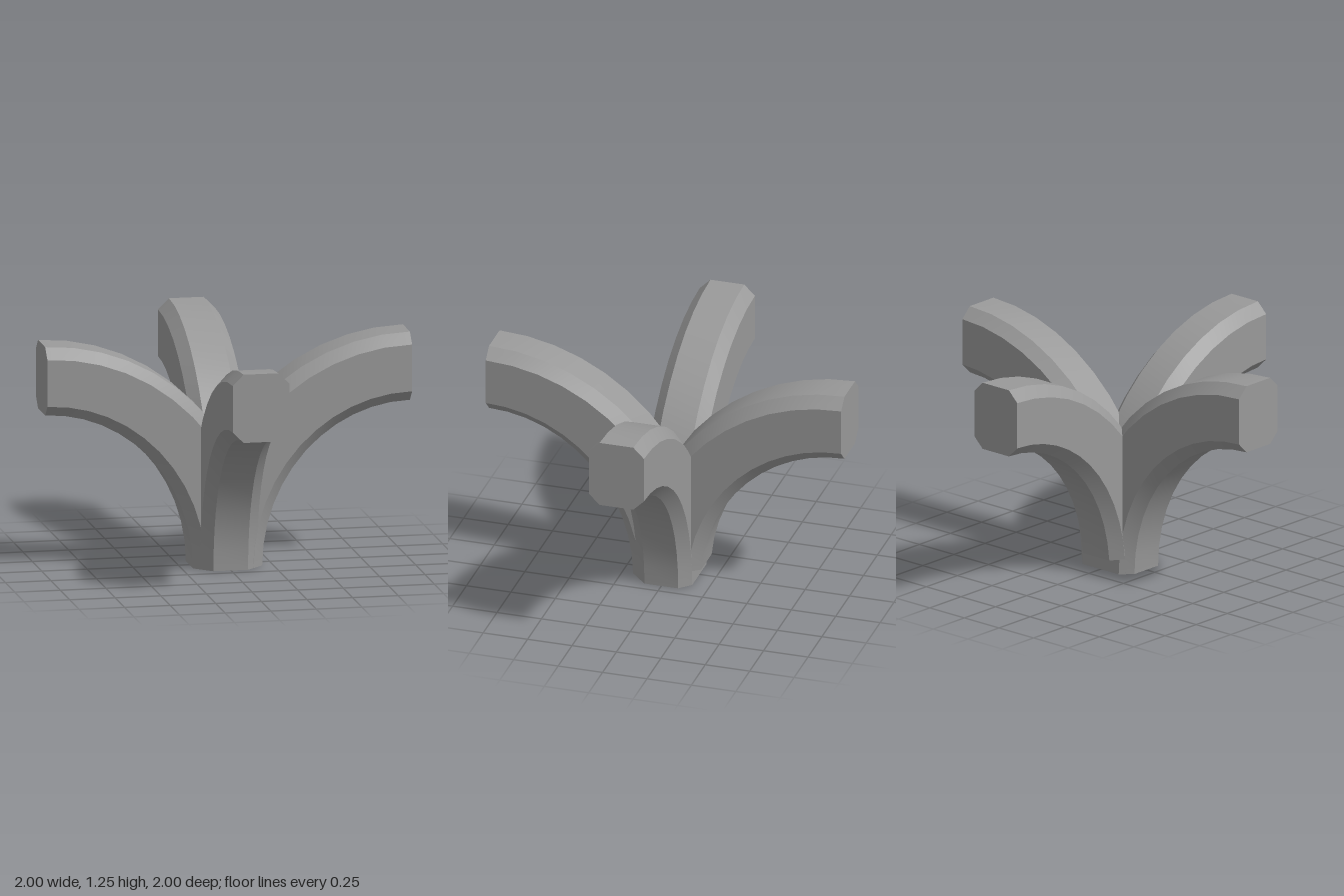
import * as THREE from 'three';
import { toCreasedNormals } from 'three/addons/utils/BufferGeometryUtils.js';

const INNER = 0.81, OUTER = 1.19, HALF = 0.155, CHAMFER = 0.06, STEPS = 12;

// Chamfered beam section: x is the distance from the bend centre, y the width
function beamSection() {
  const a = INNER, b = OUTER, w = HALF, c = CHAMFER;
  return new THREE.Shape([
    [a + c, -w], [b - c, -w], [b, -w + c], [b, w - c],
    [b - c, w], [a + c, w], [a, w - c], [a, -w + c],
  ].map(([x, y]) => new THREE.Vector2(x, y)));
}

// Straight beam bent through a quarter ellipse, from upright to level
function bentBeam(startAngle) {
  const geo = new THREE.ExtrudeGeometry(beamSection(), { depth: 1, steps: STEPS, bevelEnabled: false });
  const p = geo.attributes.position;
  for (let i = 0; i < p.count; i++) {
    const r = p.getX(i), w = p.getY(i);
    const t = THREE.MathUtils.lerp(startAngle, Math.PI / 2, p.getZ(i));
    const height = 0.875 + (r - INNER) * 0.987;
    // The foot is cut off so that it stays inside the neighbouring arms
    p.setXYZ(i, Math.max(1 - r * Math.cos(t), -0.15), height * Math.sin(t), w);
  }
  geo.deleteAttribute('uv');
  return toCreasedNormals(geo, 0.45);
}

export function createModel() {
  const model = new THREE.Group();
  model.name = 'branchingColumn';
  const material = new THREE.MeshStandardMaterial({ color: 0x999999 });

  // Four arms sharing one foot; the back arm starts above the ground, leaving a notch
  const arms = [
    ['leftArm', 0, 0],
    ['backArm', Math.PI / 2, 0.092],
    ['rightArm', Math.PI, 0],
    ['frontArm', -Math.PI / 2, 0],
  ];
  for (const [name, turn, startAngle] of arms) {
    const arm = new THREE.Mesh(bentBeam(startAngle), material);
    arm.name = name;
    arm.rotation.y = turn;
    // The front and back arms sit a hair off centre
    if (name === 'frontArm' || name === 'backArm') arm.position.x = -0.002;
    model.add(arm);
  }
  return model;
}
